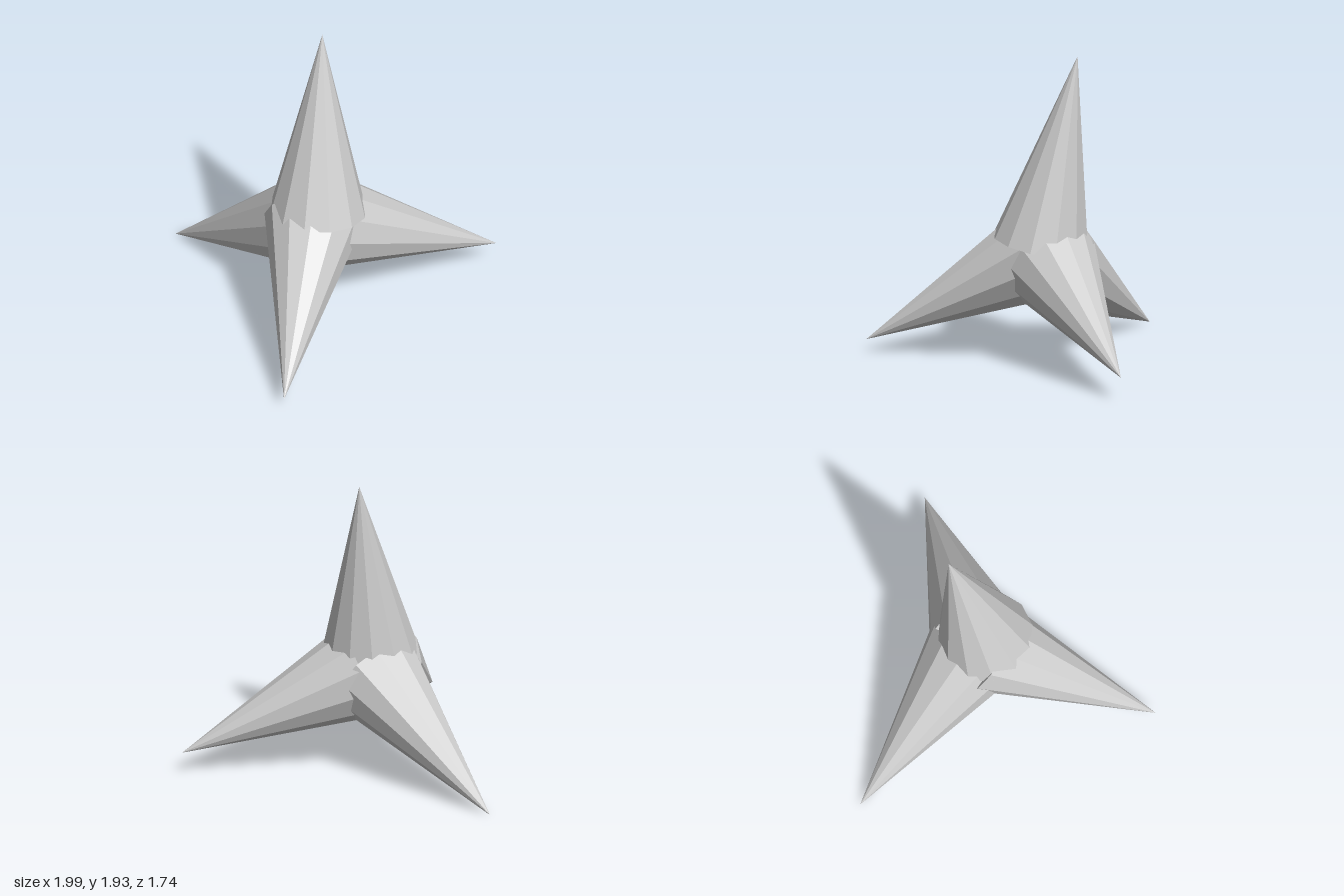
import * as THREE from 'three';

const LENGTH = 1.22, RADIUS = 0.304, SIDES = 12;

// Each spike: its point, and the direction from the point towards the core
const SPIKES = [
  { name: 'topSpike', tip: [0.165, 1.935, 0.15], axis: [-0.162, -1, 0.097] },
  { name: 'rightSpike', tip: [-1, 0.09, 0.76], axis: [0.775, 0.473, -0.418] },
  { name: 'leftSpike', tip: [0.99, 0.155, 0.87], axis: [-0.779, 0.385, -0.494] },
  { name: 'backSpike', tip: [0, 0.005, -0.87], axis: [0, 0.497, 0.868] },
];

export function createModel() {
  const group = new THREE.Group();
  group.name = 'caltrop';
  const material = new THREE.MeshStandardMaterial({ color: 0xcccccc, flatShading: true });

  // One faceted cone, with its point at the origin, shared by all spikes
  const geometry = new THREE.ConeGeometry(RADIUS, LENGTH, SIDES);
  geometry.rotateY(THREE.MathUtils.degToRad(-8));
  geometry.translate(0, -LENGTH / 2, 0);

  const up = new THREE.Vector3(0, 1, 0);
  for (const { name, tip, axis } of SPIKES) {
    const spike = new THREE.Mesh(geometry, material);
    spike.name = name;
    spike.position.set(...tip);
    const outward = new THREE.Vector3(...axis).normalize().negate();
    spike.quaternion.setFromUnitVectors(up, outward);
    group.add(spike);
  }
  return group;
}
